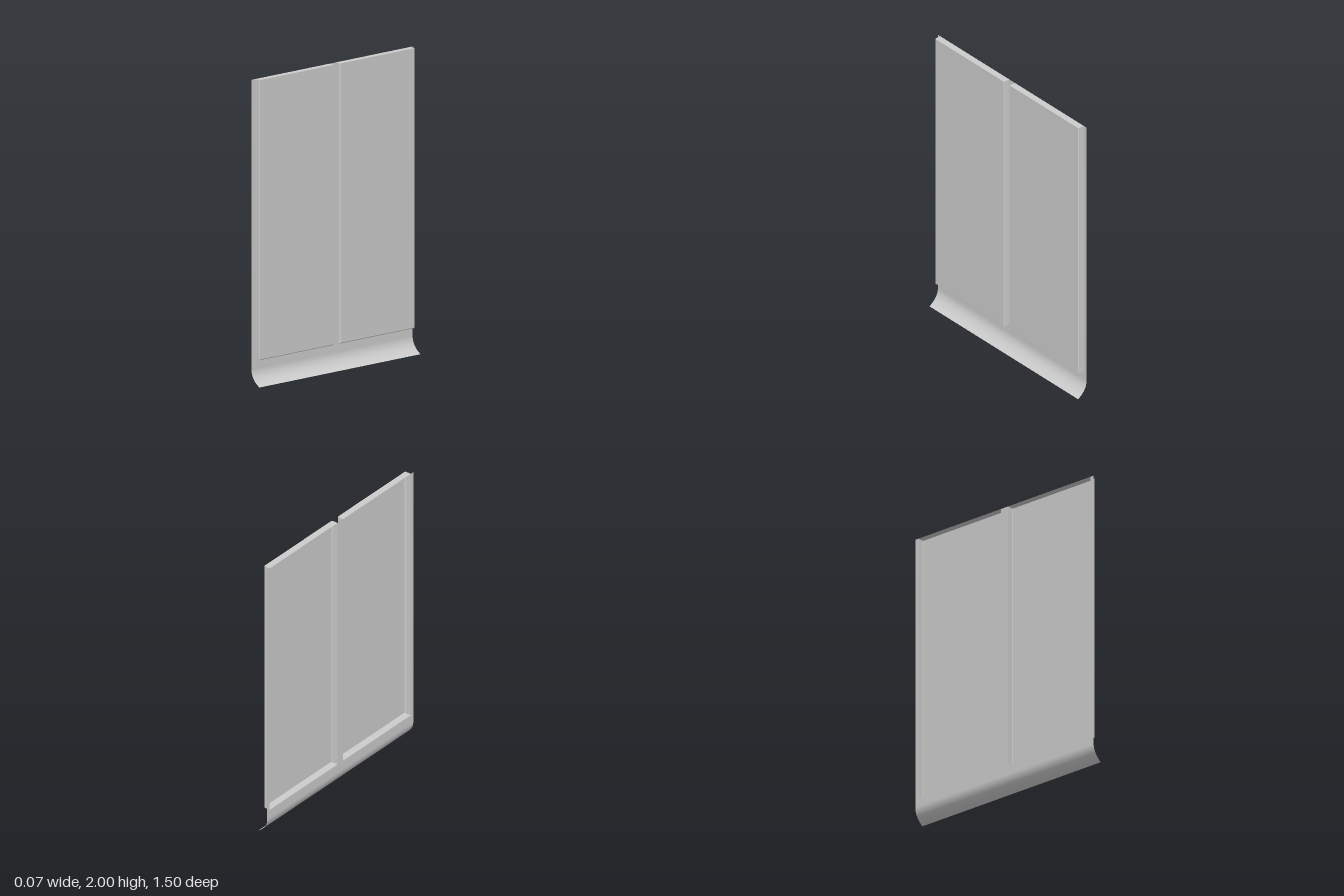
import * as THREE from 'three';

const BACK = -0.035, FRONT = 0.011, TOP = 2, PANEL_BOTTOM = 0.17;
const HALF_WIDTH = 0.75, PANEL_IN = 0.028, PANEL_OUT = 0.724;

const material = new THREE.MeshStandardMaterial({
  color: 0xcccccc, side: THREE.DoubleSide,
});

function addMesh(group, name, geometry) {
  const mesh = new THREE.Mesh(geometry, material);
  mesh.name = name;
  group.add(mesh);
  return mesh;
}

// Pressed panel: open at the back, softened front edges, built from rectangular rings
function panelGeometry(z0, z1) {
  const ring = (x, inset) => [
    [x, PANEL_BOTTOM + inset, z1 - inset],
    [x, PANEL_BOTTOM + inset, z0 + inset],
    [x, TOP, z0 + inset],
    [x, TOP, z1 - inset],
  ];
  const rings = [ring(BACK, 0), ring(FRONT - 0.005, 0), ring(FRONT, 0.005)];
  const points = [];
  const quad = (a, b, c, d) => points.push(...a, ...b, ...c, ...a, ...c, ...d);
  for (let r = 0; r < 2; r++) {
    for (let i = 0; i < 4; i++) {
      const j = (i + 1) % 4;
      quad(rings[r][i], rings[r][j], rings[r + 1][j], rings[r + 1][i]);
    }
  }
  quad(...rings[2]);
  const geometry = new THREE.BufferGeometry();
  geometry.setAttribute('position', new THREE.Float32BufferAttribute(points, 3));
  geometry.computeVertexNormals();
  return geometry;
}

// Flat vertical strip of the frame, facing +x
function stripGeometry(z0, z1) {
  const geometry = new THREE.PlaneGeometry(z1 - z0, TOP - PANEL_BOTTOM);
  geometry.rotateY(Math.PI / 2);
  geometry.translate(BACK, (TOP + PANEL_BOTTOM) / 2, (z0 + z1) / 2);
  return geometry;
}

// Skirt sheet: straight at the top, sweeping outward to the floor
function skirtGeometry() {
  const curve = new THREE.QuadraticBezierCurve(
    new THREE.Vector2(BACK, 0.11),
    new THREE.Vector2(BACK, 0.045),
    new THREE.Vector2(-BACK, 0),
  );
  const profile = [new THREE.Vector2(BACK, PANEL_BOTTOM), ...curve.getPoints(12)];
  const geometry = new THREE.PlaneGeometry(1, 1, 1, profile.length - 1);
  const position = geometry.attributes.position;
  for (let i = 0; i < position.count; i++) {
    const p = profile[Math.floor(i / 2)];
    position.setXYZ(i, p.x, p.y, i % 2 ? -HALF_WIDTH : HALF_WIDTH);
  }
  geometry.computeVertexNormals();
  return geometry;
}

export function createModel() {
  const group = new THREE.Group();
  group.name = 'wallPanel';

  addMesh(group, 'frontPanel', panelGeometry(PANEL_IN, PANEL_OUT));
  addMesh(group, 'rearPanel', panelGeometry(-PANEL_OUT, -PANEL_IN));

  // Frame strips beside and between the panels
  addMesh(group, 'frontEdgeStrip', stripGeometry(PANEL_OUT, HALF_WIDTH));
  addMesh(group, 'middleStrip', stripGeometry(-PANEL_IN, PANEL_IN));
  addMesh(group, 'rearEdgeStrip', stripGeometry(-HALF_WIDTH, -PANEL_OUT));

  addMesh(group, 'skirt', skirtGeometry());
  return group;
}
